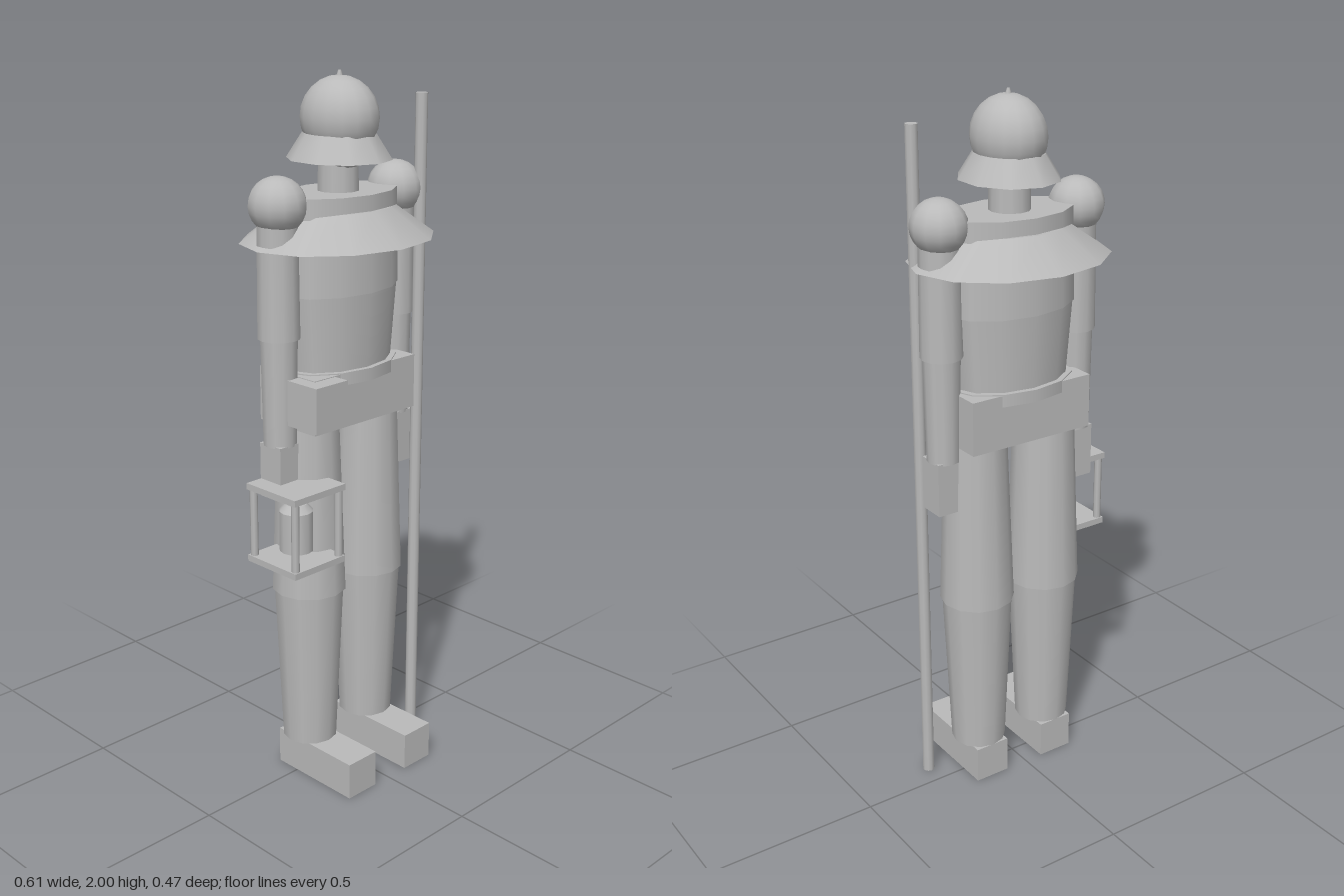
import * as THREE from 'three';

export function createModel() {
  const root = new THREE.Group();
  const grey = new THREE.MeshStandardMaterial({ color: 0xbababa });
  grey.name = 'plain grey';

  const add = (name, geometry, x, y, z, parent = root) => {
    const mesh = new THREE.Mesh(geometry, grey);
    mesh.name = name;
    mesh.position.set(x, y, z);
    parent.add(mesh);
    return mesh;
  };
  // Box given by its centre in x and z, its size, and its bottom and top heights
  const box = (name, x, z, w, d, y0, y1, parent) =>
    add(name, new THREE.BoxGeometry(w, y1 - y0, d), x, (y0 + y1) / 2, z, parent);
  // Tapered round part from y0 to y1; depth is the ratio of z radius to x radius
  const taper = (name, x, z, y0, y1, r0, r1, depth = 1, sides = 12, parent) => {
    const g = new THREE.CylinderGeometry(r1, r0, y1 - y0, sides);
    g.scale(1, 1, depth);
    return add(name, g, x, (y0 + y1) / 2, z, parent);
  };
  const ball = (name, x, y, z, rx, ry, rz, sides = 16, parent) => {
    const g = new THREE.SphereGeometry(1, sides, 12);
    g.scale(rx, ry, rz);
    return add(name, g, x, y, z, parent);
  };
  const cx = 0.007;

  // Helmet and head
  ball('helmetDome', cx, 1.88, 0.005, 0.097, 0.108, 0.113);
  taper('helmetTip', cx, 0.005, 1.975, 2, 0.012, 0.004, 1, 8);
  taper('helmetBrim', cx, 0.003, 1.773, 1.84, 0.135, 0.094, 1.1, 10);
  ball('head', cx, 1.805, 0, 0.066, 0.075, 0.075);
  taper('neck', cx, 0, 1.66, 1.79, 0.057, 0.055, 1, 12);

  // Torso and cape
  taper('chestPlate', cx, 0, 1.43, 1.69, 0.194, 0.188, 0.65);
  taper('abdomen', cx, 0, 1.2, 1.435, 0.17, 0.19, 0.65);
  taper('cape', cx, 0, 1.563, 1.648, 0.29, 0.165, 0.81);
  taper('waistRing', cx, 0, 1.19, 1.225, 0.19, 0.19, 0.67);
  box('belt', cx, 0, 0.385, 0.216, 1.07, 1.222);
  box('pouch', -0.168, 0.1, 0.115, 0.11, 1.095, 1.22);

  // Arms and legs on both sides
  for (const side of [-1, 1]) {
    const prefix = side > 0 ? 'left' : 'right';

    const arm = new THREE.Group();
    arm.name = prefix + 'Arm';
    root.add(arm);
    const ax = cx + side * 0.219;
    ball('shoulder', ax, 1.675, 0, 0.076, 0.075, 0.08, 12, arm);
    taper('upperArm', ax, 0, 1.325, 1.66, 0.058, 0.055, 1, 12, arm);
    taper('forearm', ax, 0, 1.03, 1.33, 0.046, 0.051, 1, 12, arm);
    box('hand', ax, 0.003, 0.08, 0.08, 0.882, 1.035, arm);

    const leg = new THREE.Group();
    leg.name = prefix + 'Leg';
    root.add(leg);
    const lx = cx + side * 0.115;
    taper('thigh', lx, 0, 0.58, 1.09, 0.106, 0.087, 1, 12, leg);
    taper('shin', lx, 0, 0.11, 0.585, 0.079, 0.1, 1, 12, leg);
    box('foot', lx, 0.071, 0.106, 0.292, 0, 0.108, leg);
  }

  // Staff beside the left hand
  taper('staff', 0.263, 0.061, 0.003, 1.93, 0.017, 0.017, 1, 10);

  // Lantern held in the right hand
  const lantern = new THREE.Group();
  lantern.name = 'lantern';
  root.add(lantern);
  const x = -0.212, z = 0.06;
  box('lanternTop', x, z, 0.186, 0.19, 0.914, 0.932, lantern);
  box('lanternBase', x, z, 0.186, 0.19, 0.705, 0.723, lantern);
  for (const i of [-1, 1])
    for (const j of [-1, 1])
      taper('lanternPost', x + i * 0.08, z + j * 0.082, 0.715, 0.92, 0.011, 0.011, 1, 8, lantern);
  taper('oilJar', x, z, 0.74, 0.855, 0.047, 0.047, 1, 12, lantern);
  taper('jarShoulder', x, z, 0.855, 0.875, 0.047, 0.03, 1, 12, lantern);
  taper('jarCap', x, z, 0.87, 0.898, 0.022, 0.012, 1, 10, lantern);

  return root;
}
